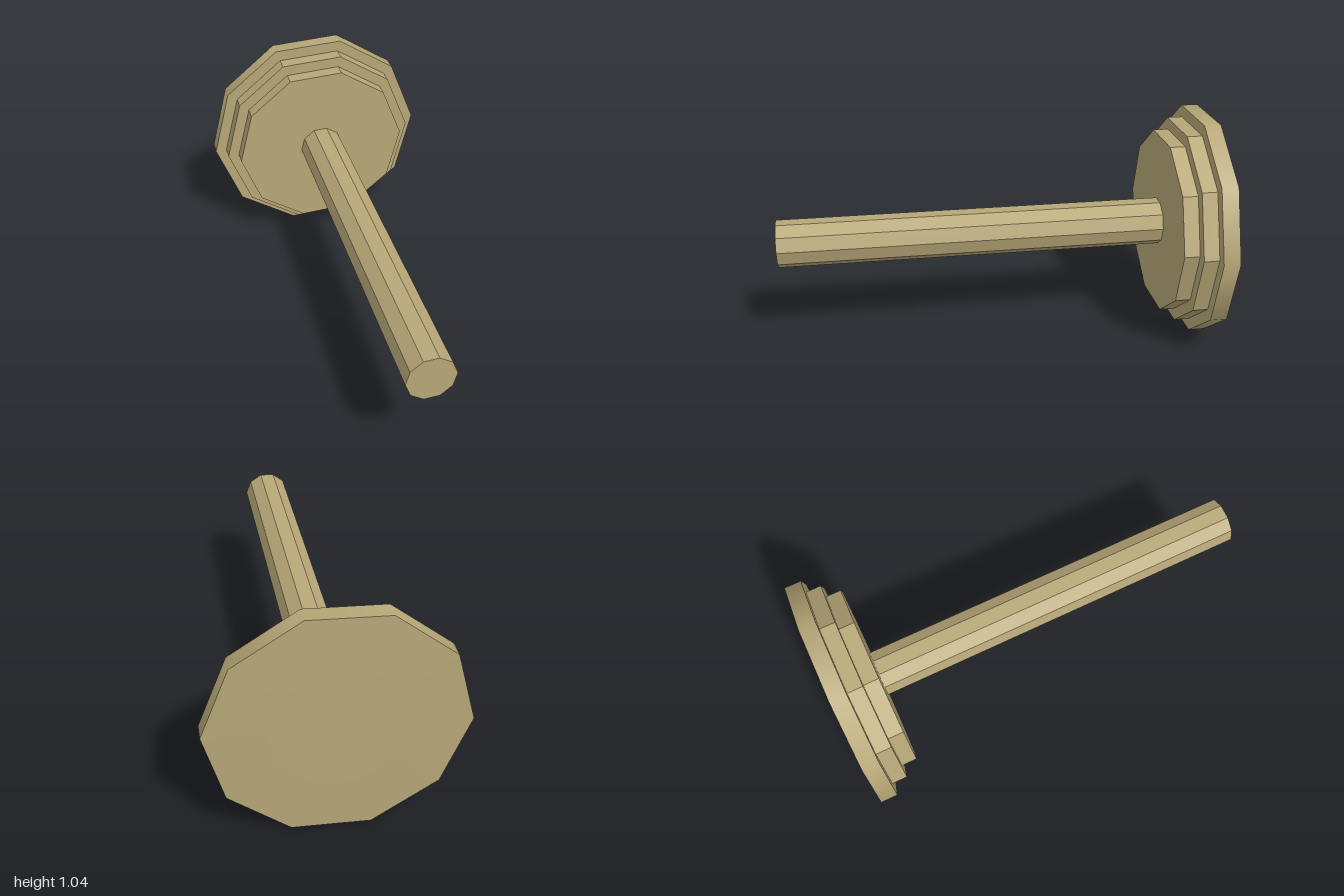
import * as THREE from 'three';

const SIDES = 10;
const AXIS_Y = 0.525;
const TWIST = THREE.MathUtils.degToRad(92.7); // turns the decagon off level

export function createModel() {
  const group = new THREE.Group();
  const material = (flatShading) => new THREE.MeshStandardMaterial({ color: 0xb8a878, flatShading });
  const flat = material(true);
  const smooth = material(false);

  // Ten-sided prism along z, from zBack to zFront
  function prism(name, rBack, rFront, zBack, zFront, mat) {
    const geometry = new THREE.CylinderGeometry(rFront, rBack, zFront - zBack, SIDES);
    geometry.rotateX(Math.PI / 2).rotateZ(TWIST);
    const mesh = new THREE.Mesh(geometry, mat);
    mesh.name = name;
    mesh.position.set(0, AXIS_Y, (zBack + zFront) / 2);
    group.add(mesh);
  }

  // Stepped head, widest at the back, with a barely raised back face
  prism('backFace', 0.29, 0.541, -1, -0.996, flat);
  prism('outerDisc', 0.541, 0.541, -0.996, -0.92, smooth);
  prism('middleDisc', 0.486, 0.486, -0.92, -0.85, flat);
  prism('innerDisc', 0.431, 0.431, -0.85, -0.78, flat);

  // Long shaft pointing forward
  prism('shaft', 0.109, 0.109, -0.78, 1, flat);

  return group;
}
